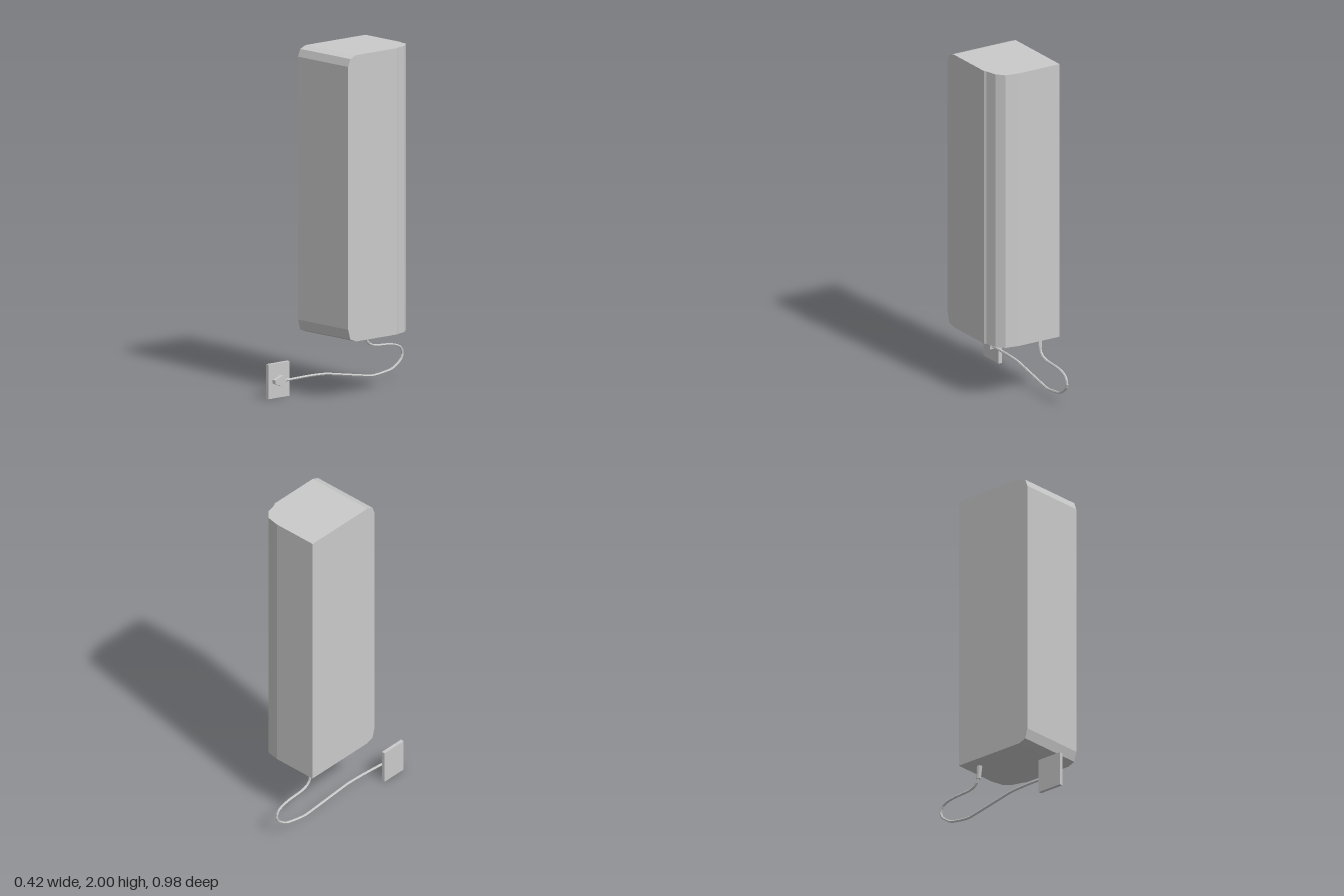
import * as THREE from 'three';

const grey = new THREE.MeshStandardMaterial({ color: 0xcacaca });
grey.name = 'light grey';

// Faceted mesh: every face gets its own normal
function part(name, geometry, parent) {
  const flat = geometry.index ? geometry.toNonIndexed() : geometry;
  flat.computeVertexNormals();
  const mesh = new THREE.Mesh(flat, grey);
  mesh.name = name;
  parent.add(mesh);
  return mesh;
}

// Outline in (z, y), extruded along +x from x0
function sideExtrude(points, x0, depth, hole) {
  const toShape = (list) => list.map(([z, y]) => new THREE.Vector2(-z, y));
  const shape = new THREE.Shape(toShape(points));
  if (hole) shape.holes.push(new THREE.Path(toShape(hole)));
  const g = new THREE.ExtrudeGeometry(shape, { depth, bevelEnabled: false });
  return g.rotateY(Math.PI / 2).translate(x0, 0, 0);
}

const rect = (z0, z1, y0, y1) => [[z0, y0], [z1, y0], [z1, y1], [z0, y1]];

// Tall case: one plan outline stacked in rings, front edge pulled back at both ends
function caseGeometry() {
  const rings = [[0.35, 0.185], [0.367, 0.229], [0.425, 0.245], [1.94, 0.245], [1.983, 0.229], [2, 0.185]];
  const rear = [[0.21, -0.132], [0.201, -0.145], [0.184, -0.212], [0.145, -0.257], [0.065, -0.272], [-0.21, -0.272]];
  const positions = [], index = [];
  for (const [y, front] of rings) {
    for (const [x, z] of [[-0.21, front], [0.21, front], ...rear]) positions.push(x, y, z);
  }
  const n = rear.length + 2;
  for (let r = 0; r < rings.length - 1; r++) {
    for (let i = 0; i < n; i++) {
      const a = r * n + i, b = r * n + (i + 1) % n;
      index.push(a, b, b + n, a, b + n, a + n);
    }
  }
  const top = (rings.length - 1) * n;
  for (let i = 1; i < n - 1; i++) {
    index.push(0, i + 1, i);
    index.push(top, top + i, top + i + 1);
  }
  const g = new THREE.BufferGeometry();
  g.setAttribute('position', new THREE.Float32BufferAttribute(positions, 3));
  g.setIndex(index);
  return g;
}

export function createModel() {
  const model = new THREE.Group();
  model.name = 'wallUnit';

  part('case', caseGeometry(), model);

  // Cable sleeve under the case
  const sleeve = part('cableSleeve', new THREE.CylinderGeometry(0.016, 0.013, 0.078, 8), model);
  sleeve.position.set(-0.126, 0.314, -0.193);
  sleeve.rotation.x = 0.1;

  // Power cable looping back and then forward to the socket
  const path = [
    [-0.126, 0.30, -0.195], [-0.126, 0.258, -0.206], [-0.126, 0.232, -0.232], [-0.126, 0.22, -0.28],
    [-0.126, 0.215, -0.37], [-0.126, 0.205, -0.43], [-0.126, 0.185, -0.468], [-0.126, 0.15, -0.482],
    [-0.127, 0.113, -0.467], [-0.129, 0.068, -0.40], [-0.138, 0.047, -0.255], [-0.158, 0.097, 0.07],
    [-0.166, 0.101, 0.20], [-0.176, 0.096, 0.385],
  ].map((p) => new THREE.Vector3(...p));
  const cable = new THREE.CatmullRomCurve3(path, false, 'catmullrom', 0.2);
  part('cable', new THREE.TubeGeometry(cable, 52, 0.0075, 6), model);

  // Plug body and its ribbed collar
  const plug = new THREE.Group();
  plug.name = 'plug';
  model.add(plug);
  const outline = [[0.46, 0.108], [0.46, 0.086], [0.40, 0.064], [0.381, 0.074], [0.381, 0.12], [0.40, 0.13]];
  part('plugBody', sideExtrude(outline, -0.19, 0.026), plug);
  for (let i = 0; i < 2; i++) {
    const rib = part('plugCollar', new THREE.CylinderGeometry(0.012 - i * 0.002, 0.012 - i * 0.002, 0.008, 8), plug);
    rib.rotation.x = Math.PI / 2;
    rib.position.set(-0.176, 0.097, 0.376 - i * 0.013);
  }

  // Hollow wall plate: rim open at the rear plus a front panel
  const plate = new THREE.Group();
  plate.name = 'wallPlate';
  model.add(plate);
  part('plateRim', sideExtrude(rect(0.33, 0.49, 0, 0.2), -0.21, 0.013, rect(0.345, 0.475, 0.016, 0.184)), plate);
  part('platePanel', sideExtrude(rect(0.33, 0.49, 0, 0.2), -0.197, 0.008), plate);

  return model;
}
